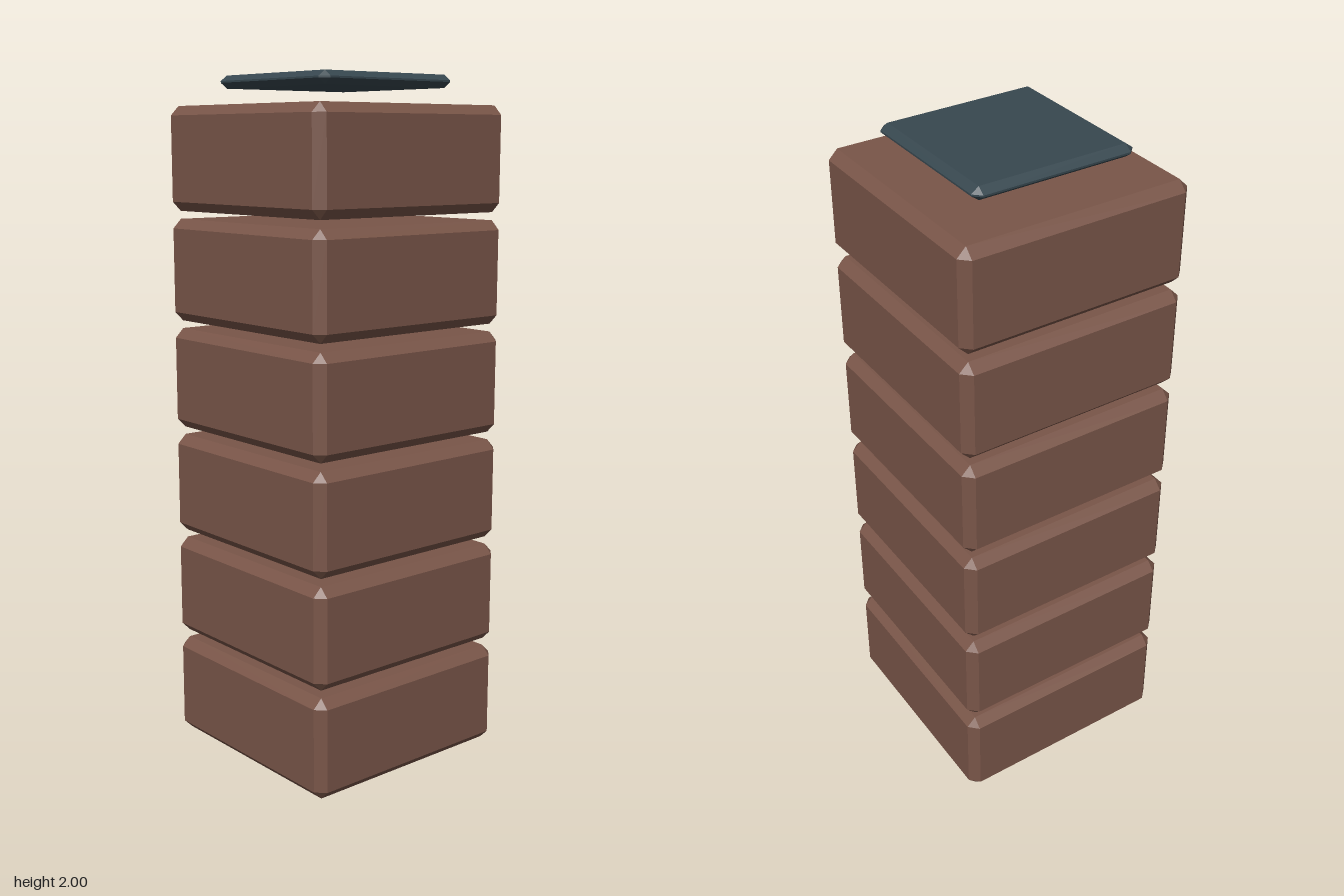
import * as THREE from 'three';
import { ConvexGeometry } from 'three/addons/geometries/ConvexGeometry.js';

// Square block with every edge chamfered: c across, cy vertically
function chamferedBlock(width, height, c, cy) {
  const w = width / 2, h = height / 2;
  const points = [];
  for (const x of [-1, 1]) for (const y of [-1, 1]) for (const z of [-1, 1]) {
    points.push(
      new THREE.Vector3(x * w, y * (h - cy), z * (w - c)),
      new THREE.Vector3(x * (w - c), y * h, z * (w - c)),
      new THREE.Vector3(x * (w - c), y * (h - cy), z * w)
    );
  }
  return new ConvexGeometry(points);
}

export function createModel() {
  const model = new THREE.Group();
  model.name = 'blockTower';
  const brown = new THREE.MeshStandardMaterial({ color: 0x795548, flatShading: true });
  const slate = new THREE.MeshStandardMaterial({ color: 0x37474f, flatShading: true });

  // Stack of six separate blocks with narrow gaps
  const height = 0.3, pitch = 0.323;
  const blockGeometry = chamferedBlock(0.696, height, 0.027, 0.027);
  for (let i = 0; i < 6; i++) {
    const block = new THREE.Mesh(blockGeometry, brown);
    block.name = `block${i + 1}`;
    block.position.y = height / 2 + i * pitch;
    model.add(block);
  }

  // Thin plate hovering above the top block
  const plate = new THREE.Mesh(chamferedBlock(0.484, 0.037, 0.022, 0.016), slate);
  plate.name = 'topPlate';
  plate.position.y = 2 - 0.037 / 2;
  model.add(plate);

  return model;
}
